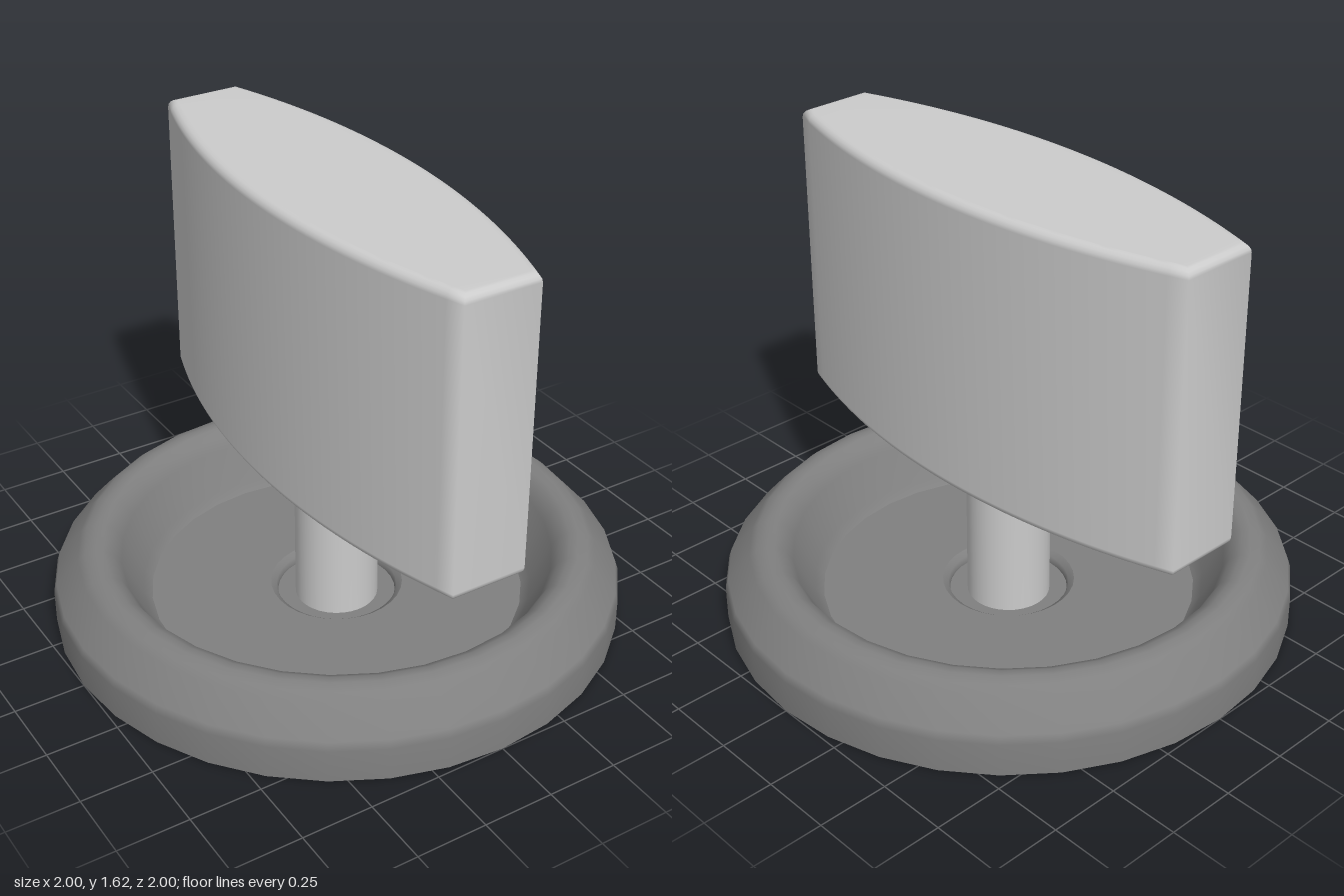
import * as THREE from 'three';
import { mergeVertices } from 'three/addons/utils/BufferGeometryUtils.js';

const pale = new THREE.MeshStandardMaterial({ color: 0xcccccc });
const dark = new THREE.MeshStandardMaterial({ color: 0x808080 });

// Revolved profile; a repeated point keeps that edge sharp
function lathe(name, points, material) {
  const profile = points.map(([r, y]) => new THREE.Vector2(r, y));
  const mesh = new THREE.Mesh(new THREE.LatheGeometry(profile, 32), material);
  mesh.name = name;
  return mesh;
}

// Upright grip: bowed sides, blunt ends, softly bevelled edges
function createGrip() {
  const bevel = 0.03, halfEnd = 0.145 - bevel, halfMid = 0.29 - bevel, halfLength = 0.885 - bevel;
  const bottom = 0.56, top = 1.615;
  const sagitta = halfMid - halfEnd;
  const radius = (halfLength ** 2 + sagitta ** 2) / (2 * sagitta);
  const angle = Math.asin(halfLength / radius);

  const shape = new THREE.Shape();
  shape.absarc(halfMid - radius, 0, radius, -angle, angle);
  shape.absarc(radius - halfMid, 0, radius, Math.PI - angle, Math.PI + angle);
  shape.closePath();

  const extruded = new THREE.ExtrudeGeometry(shape, {
    depth: top - bottom - 2 * bevel, curveSegments: 20,
    bevelThickness: bevel, bevelSize: bevel, bevelSegments: 4,
  });
  extruded.rotateX(-Math.PI / 2).translate(0, bottom + bevel, 0);

  // Area-weighted normals keep the large faces flat and the bevels smooth
  extruded.deleteAttribute('uv');
  extruded.deleteAttribute('normal');
  const geometry = mergeVertices(extruded, 1e-4);
  geometry.computeVertexNormals();
  const mesh = new THREE.Mesh(geometry, pale);
  mesh.name = 'grip';
  return mesh;
}

export function createModel() {
  const model = new THREE.Group();
  model.name = 'rotaryKnob';

  // Dished base with a rounded rim and a socket in the middle
  model.add(lathe('base', [
    [0, 0], [1, 0], [1, 0],
    [1, 0.12], [0.99, 0.15], [0.91, 0.24], [0.885, 0.262], [0.85, 0.272],
    [0.82, 0.27], [0.785, 0.25], [0.76, 0.21],
    [0.69, 0.08], [0.66, 0.05], [0.66, 0.05],
    [0.235, 0.05], [0.235, 0.05], [0.215, 0.035], [0.21, 0.02],
    [0.21, 0.01], [0.21, 0.01], [0, 0.01],
  ], dark));

  // Stem with a small flare under the grip
  model.add(lathe('stem', [
    [0.147, 0.01], [0.147, 0.53], [0.152, 0.547], [0.17, 0.562],
  ], pale));

  model.add(createGrip());
  return model;
}
